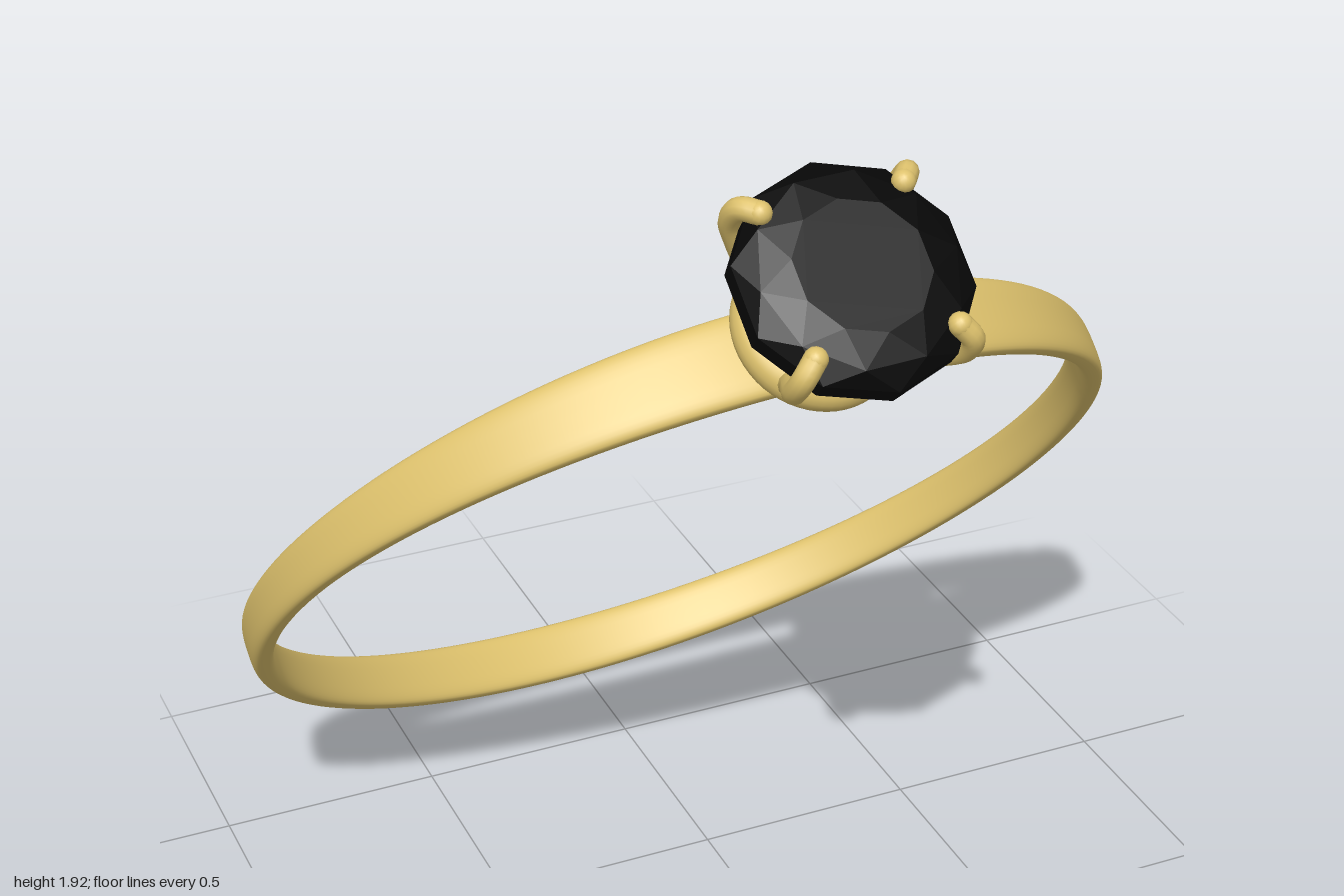
import * as THREE from 'three';
import { ConvexGeometry } from 'three/addons/geometries/ConvexGeometry.js';

const TAU = Math.PI * 2;

// Closed hoop: a rounded flat section swept round, widest under the setting
function bandGeometry(steps = 144, sides = 32) {
  const pos = [], index = [];
  const soft = v => Math.sign(v) * Math.abs(v) ** 0.6;
  for (let i = 0; i < steps; i++) {
    const a = (i / steps) * TAU;
    const c = Math.cos(a);
    const halfWidth = 0.056 + (c > 0 ? 0.037 : 0.014) * c * c;
    for (let j = 0; j < sides; j++) {
      const b = (j / sides) * TAU;
      const r = 0.974 + 0.026 * soft(Math.sin(b));
      pos.push(Math.sin(a) * r, c * r, halfWidth * soft(Math.cos(b)));
      const i2 = (i + 1) % steps, j2 = (j + 1) % sides;
      const p = i * sides + j, q = i2 * sides + j, s = i2 * sides + j2, t = i * sides + j2;
      index.push(p, q, t, q, s, t);
    }
  }
  const g = new THREE.BufferGeometry();
  g.setAttribute('position', new THREE.Float32BufferAttribute(pos, 3));
  g.setIndex(index);
  g.computeVertexNormals();
  return g;
}

// Ten-sided cut stone: table, crown, girdle, pavilion and culet
function gemGeometry() {
  const pts = [new THREE.Vector3(0, 1.06, 0)];
  const ring = (r, y, turn) => {
    for (let i = 0; i < 10; i++) {
      const a = ((i + turn) / 10) * TAU;
      pts.push(new THREE.Vector3(Math.cos(a) * r, y, Math.sin(a) * r));
    }
  };
  ring(0.14, 1.343, 0.5);
  ring(0.207, 1.324, 0);
  ring(0.243, 1.292, 0.5);
  ring(0.243, 1.25, 0.5);
  ring(0.13, 1.135, 0);
  return new ConvexGeometry(pts);
}

export function createModel() {
  const gold = new THREE.MeshStandardMaterial({ color: 0xdec26d });
  gold.name = 'gold';
  const black = new THREE.MeshStandardMaterial({ color: 0x070707 });
  black.name = 'black stone';

  const ring = new THREE.Group();
  ring.name = 'ring';
  const add = (name, geometry, material, parent = ring) => {
    const mesh = new THREE.Mesh(geometry, material);
    mesh.name = name;
    parent.add(mesh);
    return mesh;
  };

  add('band', bandGeometry(), gold);
  add('gemstone', gemGeometry(), black);

  // Basket collar that carries the claws
  const basket = add('basket', new THREE.TorusGeometry(0.132, 0.045, 20, 56), gold);
  basket.rotation.x = Math.PI / 2;
  basket.position.y = 1.057;

  // Short neck joining basket and band
  const neck = add('neck', new THREE.CylinderGeometry(0.1, 0.06, 0.05, 32), gold);
  neck.position.y = 1.015;

  // Four claws hooked over the girdle
  const path = new THREE.CatmullRomCurve3(
    [[0.145, 1.055], [0.172, 1.115], [0.222, 1.19], [0.254, 1.25], [0.25, 1.305], [0.215, 1.326]]
      .map(([r, y]) => new THREE.Vector3(r, y, 0)));
  const clawGeometry = new THREE.TubeGeometry(path, 32, 0.024, 12);
  const tipGeometry = new THREE.SphereGeometry(0.0245, 14, 10);
  for (let i = 0; i < 4; i++) {
    const claw = new THREE.Group();
    claw.name = 'claw' + (i + 1);
    claw.rotation.y = (i + 0.5) * Math.PI / 2;
    add('clawStem', clawGeometry, gold, claw);
    add('clawTip', tipGeometry, gold, claw).position.copy(path.getPoint(1));
    ring.add(claw);
  }

  // Lean the whole ring forward with a slight twist
  ring.rotation.set(0.723, 0.035, 0);
  ring.position.set(0, 0.79, -0.17);

  const model = new THREE.Group();
  model.name = 'model';
  model.add(ring);
  return model;
}
